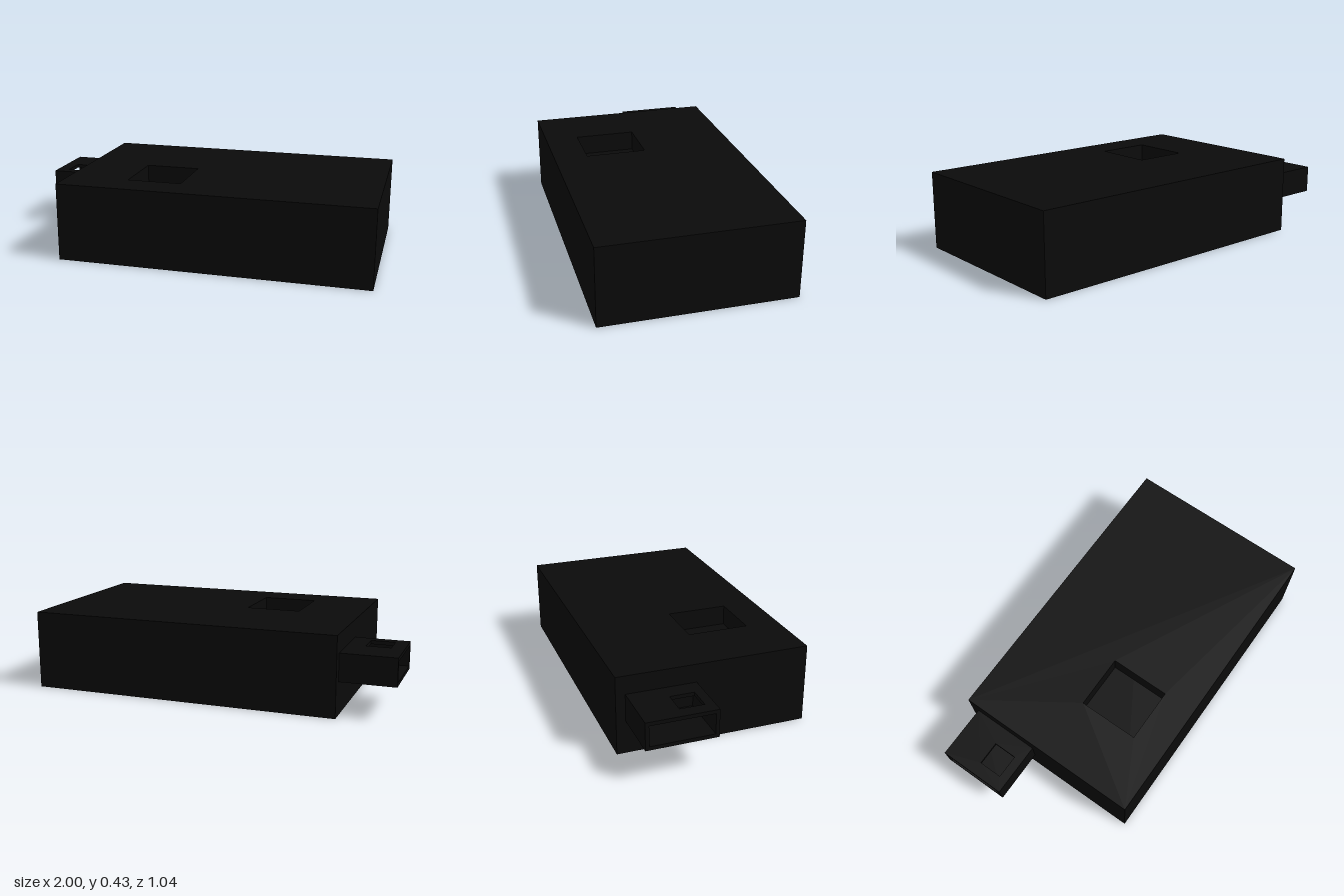
import * as THREE from 'three';

const material = new THREE.MeshStandardMaterial({ color: 0x0a0a0a });

// Horizontal slab between two corners, with an optional rectangular opening [x0, x1, z0, z1]
function slab(name, [x0, x1], [y0, y1], [z0, z1], hole) {
  const rect = (Path, a, b, c, d) => {
    const p = new Path();
    p.moveTo(a, -d);
    p.lineTo(b, -d);
    p.lineTo(b, -c);
    p.lineTo(a, -c);
    p.closePath();
    return p;
  };
  const shape = rect(THREE.Shape, x0, x1, z0, z1);
  if (hole) shape.holes.push(rect(THREE.Path, ...hole));
  const geometry = new THREE.ExtrudeGeometry(shape, { depth: y1 - y0, bevelEnabled: false });
  geometry.rotateX(-Math.PI / 2);
  geometry.translate(0, y0, 0);
  const mesh = new THREE.Mesh(geometry, material);
  mesh.name = name;
  return mesh;
}

export function createModel() {
  const model = new THREE.Group();
  model.name = 'plugInDevice';

  // Body: solid base with a top layer holding the square recess
  const body = new THREE.Group();
  body.name = 'body';
  const bodyX = [-0.705, 1], bodyZ = [-0.52, 0.52], recessFloor = 0.32;
  body.add(
    slab('bodyBase', bodyX, [0, recessFloor], bodyZ),
    slab('bodyTop', bodyX, [recessFloor, 0.43], bodyZ, [-0.36, -0.06, 0, 0.335])
  );

  // Connector: hollow sleeve, open at the outer end, with a latch window on top
  const plug = new THREE.Group();
  plug.name = 'connector';
  const plugX = [-1, -0.705], t = 0.02;
  const [y0, y1] = [0.18, 0.33], [z0, z1] = [-0.47, -0.095];
  plug.add(
    slab('connectorTop', plugX, [y1 - t, y1], [z0, z1], [-0.93, -0.8, -0.275, -0.145]),
    slab('connectorBottom', plugX, [y0, y0 + t], [z0, z1]),
    slab('connectorBackWall', plugX, [y0 + t, y1 - t], [z0, z0 + t]),
    slab('connectorFrontWall', plugX, [y0 + t, y1 - t], [z1 - t, z1])
  );

  model.add(body, plug);
  return model;
}
